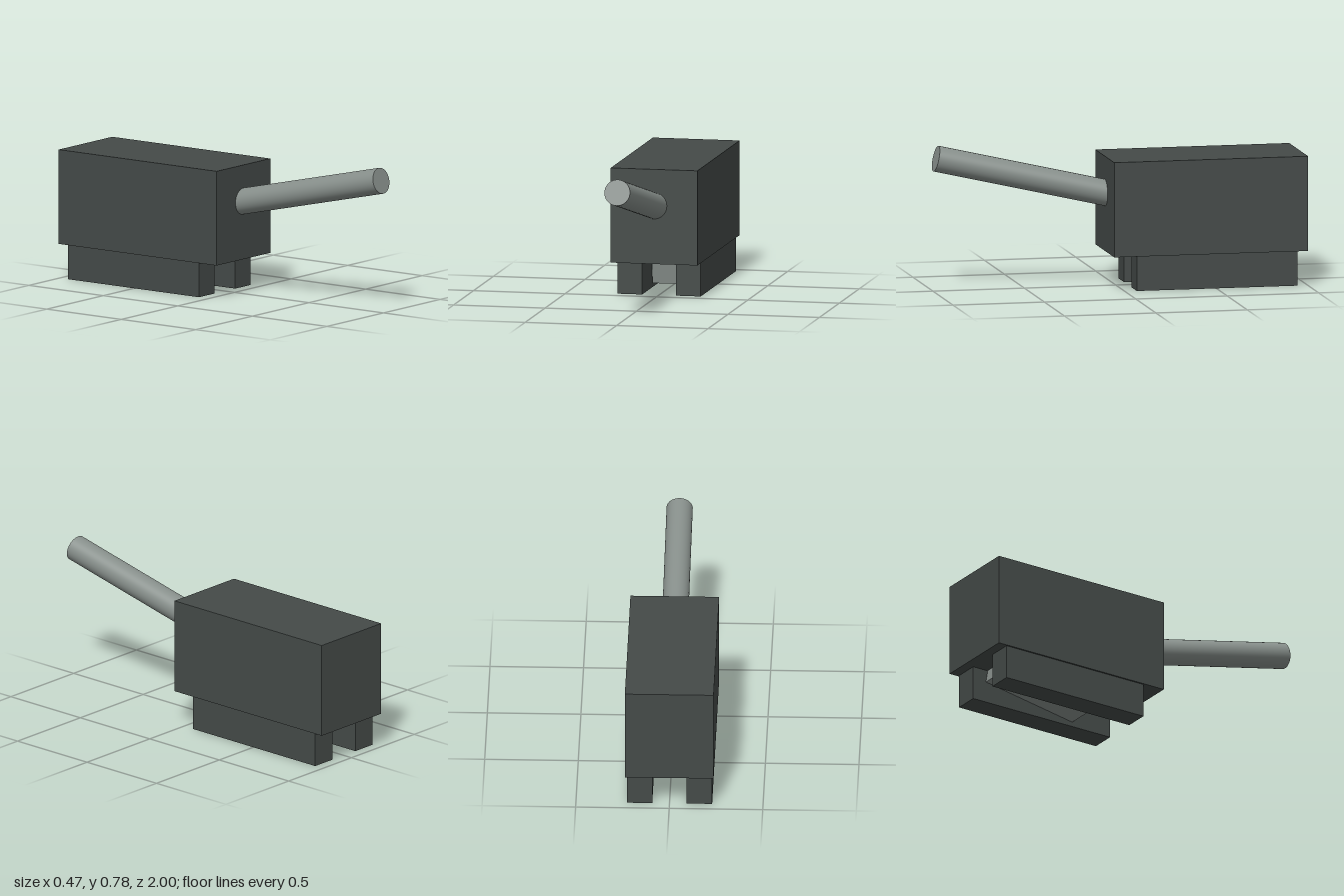
import * as THREE from 'three';

export function createModel() {
  const model = new THREE.Group();
  const darkGrey = new THREE.MeshStandardMaterial({ color: 0x444a48 });
  darkGrey.name = 'dark grey';
  const lightGrey = new THREE.MeshStandardMaterial({ color: 0x878f8b });
  lightGrey.name = 'light grey';

  function add(name, geometry, material, x, y, z, tilt = 0) {
    const mesh = new THREE.Mesh(geometry, material);
    mesh.name = name;
    mesh.position.set(x, y, z);
    mesh.rotation.x = tilt;
    model.add(mesh);
    return mesh;
  }

  // Housing
  add('body', new THREE.BoxGeometry(0.474, 0.512, 1.06), darkGrey, 0, 0.443, -0.47);

  // Two long rails under the housing
  for (const side of [1, -1]) {
    add(side > 0 ? 'leftRail' : 'rightRail',
      new THREE.BoxGeometry(0.136, 0.187, 0.88), darkGrey, side * 0.16, 0.0935, -0.505);
  }

  // Block between the rails, dipping towards the front; its top is inside the housing
  const dip = THREE.MathUtils.degToRad(9.5);
  const block = new THREE.BoxGeometry(0.178, 0.24, 0.563);
  block.translate(0, 0.12, -0.2815); // pivot on the lower front edge
  add('latch', block, lightGrey, 0, 0.024, -0.31, dip);

  // Lever rising forward out of the housing
  const rise = THREE.MathUtils.degToRad(13);
  const length = 1.1;
  const lever = new THREE.CylinderGeometry(0.07, 0.07, length, 48);
  lever.translate(0, -length / 2, 0); // pivot on the tip
  add('lever', lever, lightGrey, 0, 0.716, 0.984, Math.PI / 2 - rise);

  return model;
}
